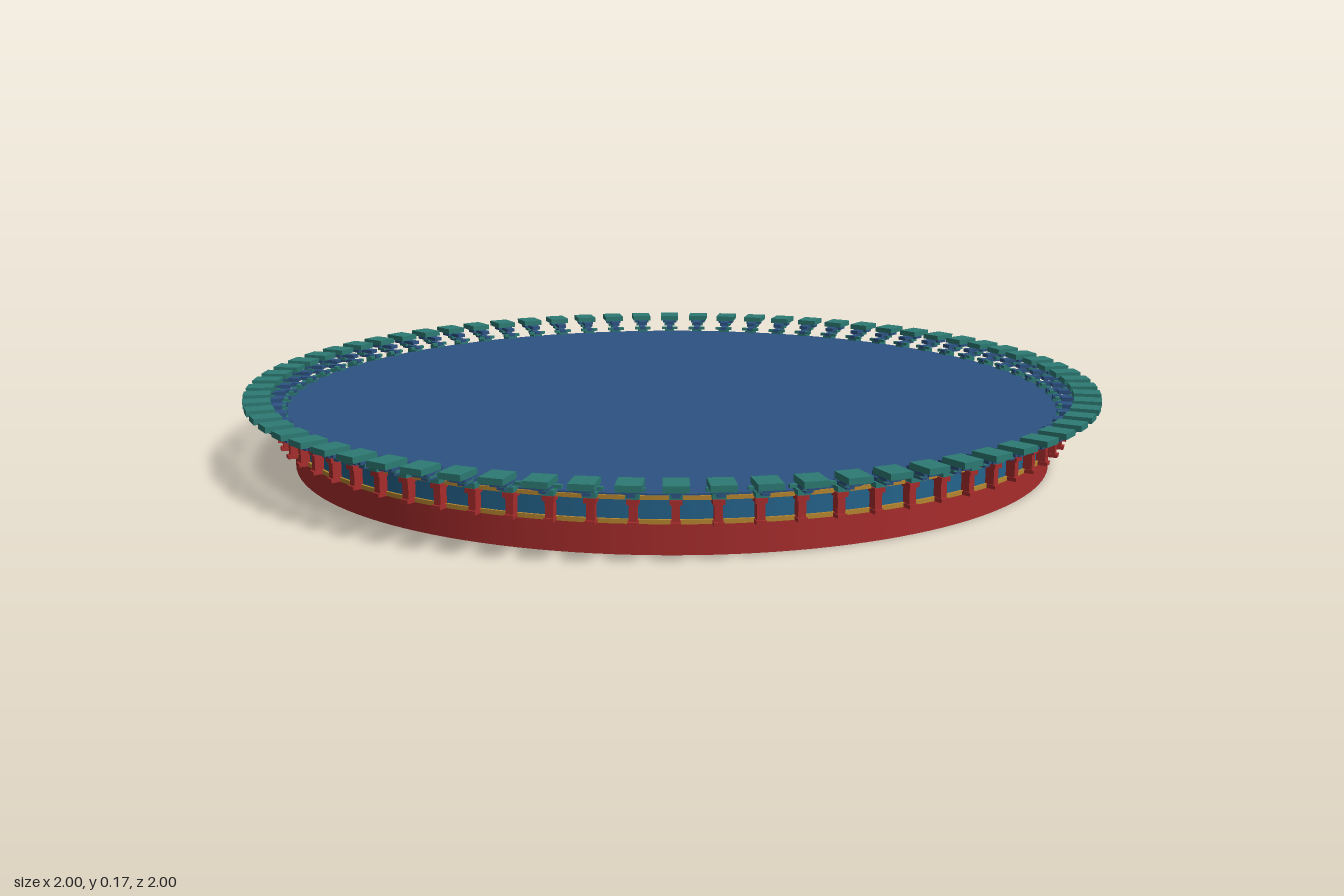
import * as THREE from 'three';

const material = (name, color) => Object.assign(new THREE.MeshStandardMaterial({ color }), { name });

export function createModel() {
  const red = material('vermilion red', 0xa82c2c);
  const blue = material('deep blue', 0x2c5282);
  const teal = material('teal', 0x2c7a73);
  const gold = material('ochre gold', 0xb7862f);
  const panelBlue = material('panel blue', 0x24648c);

  const model = new THREE.Group();
  model.name = 'roundEntablature';

  const add = (parent, name, geometry, mat) => {
    const mesh = new THREE.Mesh(geometry, mat);
    mesh.name = name;
    parent.add(mesh);
    return mesh;
  };

  // Stacked round courses: name, radius, bottom, top, material
  const courses = [
    ['baseDrum', 0.887, 0, 0.066, red],
    ['lowerGoldBand', 0.905, 0.066, 0.075, gold],
    ['frieze', 0.9, 0.075, 0.115, panelBlue],
    ['upperGoldBand', 0.912, 0.115, 0.123, gold],
    ['topDisc', 0.908, 0.123, 0.126, blue],
  ];
  for (const [name, radius, y0, y1, mat] of courses) {
    add(model, name, new THREE.CylinderGeometry(radius, radius, y1 - y0, 144), mat)
      .position.y = (y0 + y1) / 2;
  }

  // One bay, facing +z: name, width, y range, radial range, material
  const bayParts = [
    ['post', 0.016, 0.066, 0.116, 0.892, 0.92, red],
    ['postFoot', 0.02, 0.066, 0.074, 0.892, 0.925, red],
    ['postCap', 0.024, 0.108, 0.118, 0.892, 0.925, red],
    ['bearingBlock', 0.026, 0.12, 0.131, 0.9, 0.93, teal],
    ['lowerArm', 0.016, 0.131, 0.139, 0.9, 0.957, blue],
    ['lowerCrossArm', 0.046, 0.131, 0.138, 0.904, 0.914, teal],
    ['lowerBlock', 0.03, 0.137, 0.144, 0.936, 0.96, teal],
    ['upperArm', 0.022, 0.143, 0.152, 0.912, 0.98, blue],
    ['upperCrossArm', 0.04, 0.144, 0.152, 0.948, 0.976, blue],
    ['eaveBlock', 0.05, 0.152, 0.165, 0.937, 0.9985, teal],
  ].map(([name, w, y0, y1, z0, z1, mat]) => ({
    name, mat,
    geometry: new THREE.BoxGeometry(w, y1 - y0, z1 - z0).translate(0, (y0 + y1) / 2, (z0 + z1) / 2),
  }));

  // Bracket bays repeated around the rim
  const bayCount = 72;
  for (let i = 0; i < bayCount; i++) {
    const bay = new THREE.Group();
    bay.name = 'bracketBay';
    bay.rotation.y = (i / bayCount) * Math.PI * 2;
    for (const { name, geometry, mat } of bayParts) add(bay, name, geometry, mat);
    model.add(bay);
  }

  return model;
}
